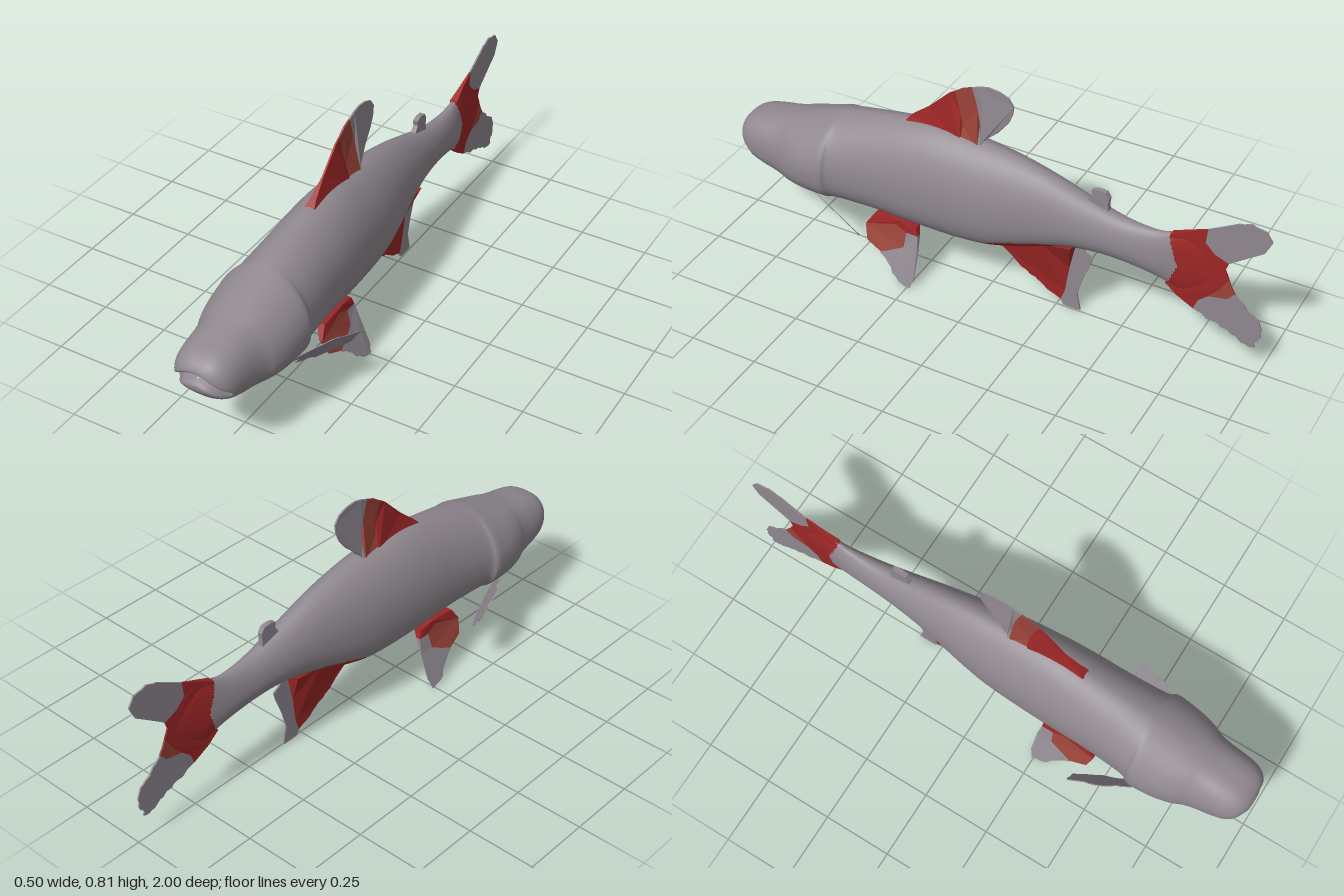
import * as THREE from 'three';

const grey = new THREE.MeshStandardMaterial({ color: 0x8f888f });
const red = new THREE.MeshStandardMaterial({ color: 0x9c2626 });
const brown = new THREE.MeshStandardMaterial({ color: 0x9a4338 });
grey.name = 'skin grey';
red.name = 'fin red';
brown.name = 'fin brown red';

let seed = 7;
const rnd = () => ((seed = (seed * 16807) % 2147483647) / 2147483647) - 0.5;

// Subdivides an open polyline of [z, y] points and frays it
function rag(pts, amount = 0.014, n = 5) {
  const out = [];
  for (let i = 0; i < pts.length - 1; i++) {
    for (let k = 0; k < n; k++) {
      const t = k / n, a = k ? amount : 0;
      out.push([
        pts[i][0] + (pts[i + 1][0] - pts[i][0]) * t + rnd() * a,
        pts[i][1] + (pts[i + 1][1] - pts[i][1]) * t + rnd() * a,
      ]);
    }
  }
  out.push(pts[pts.length - 1]);
  return out;
}

// Thin fin panel from a [z, y] outline; centre and half thickness are rules of (y, z)
function panel(name, outline, mat, half = () => 0.003, centre = () => 0) {
  const shape = new THREE.Shape(outline.map(([z, y]) => new THREE.Vector2(-z, y)));
  const geo = new THREE.ExtrudeGeometry(shape, { depth: 1, bevelEnabled: false });
  geo.translate(0, 0, -0.5).rotateY(Math.PI / 2);
  const p = geo.attributes.position;
  for (let i = 0; i < p.count; i++) {
    const y = p.getY(i), z = p.getZ(i);
    p.setX(i, centre(y, z) + 2 * p.getX(i) * half(y, z));
  }
  geo.computeVertexNormals();
  const mesh = new THREE.Mesh(geo, mat);
  mesh.name = name;
  return mesh;
}

// Body stations from nose to tail: z, top, bottom, half width
const STATIONS = [
  [1.0, 0.367, 0.363, 0.002], [1.0, 0.383, 0.348, 0.03], [0.997, 0.4, 0.331, 0.054],
  [0.985, 0.418, 0.312, 0.078], [0.965, 0.434, 0.29, 0.097], [0.935, 0.447, 0.27, 0.11],
  [0.89, 0.458, 0.253, 0.118], [0.84, 0.469, 0.24, 0.124], [0.8, 0.48, 0.23, 0.133],
  [0.76, 0.493, 0.225, 0.15], [0.7, 0.513, 0.222, 0.165], [0.63, 0.536, 0.22, 0.172],
  [0.6, 0.546, 0.219, 0.17], [0.575, 0.553, 0.218, 0.155], [0.5, 0.57, 0.216, 0.147],
  [0.4, 0.59, 0.213, 0.141], [0.3, 0.606, 0.206, 0.139], [0.2, 0.613, 0.201, 0.135],
  [0.1, 0.606, 0.2, 0.129], [0, 0.595, 0.207, 0.121], [-0.1, 0.579, 0.23, 0.107],
  [-0.2, 0.555, 0.262, 0.09], [-0.3, 0.523, 0.292, 0.075], [-0.4, 0.49, 0.304, 0.061],
  [-0.5, 0.466, 0.3, 0.049], [-0.6, 0.461, 0.283, 0.037], [-0.66, 0.474, 0.266, 0.028],
  [-0.71, 0.478, 0.252, 0.019], [-0.77, 0.44, 0.29, 0.01], [-0.83, 0.37, 0.35, 0.001],
];

// Upper limit of the red belly patch: z, y
const PATCH = [[0.33, 0.206], [0.1, 0.206], [0.04, 0.222], [-0.02, 0.246], [-0.1, 0.28], [-0.2, 0.3], [-0.34, 0.316]];
function patchTop(z) {
  for (let i = 0; i < PATCH.length - 1; i++) {
    const [z0, y0] = PATCH[i], [z1, y1] = PATCH[i + 1];
    if (z <= z0 && z >= z1) return y0 + ((y1 - y0) * (z0 - z)) / (z0 - z1);
  }
  return -1;
}

function buildBody() {
  const rings = (STATIONS.length - 1) * 8, segs = 72;
  const curve = (f) => new THREE.CatmullRomCurve3(STATIONS.map(f), false, 'catmullrom', 0.5);
  const upper = curve((s) => new THREE.Vector3(s[3], s[1], s[0]));
  const lower = curve((s) => new THREE.Vector3(s[3], s[2], s[0]));
  const pos = [];
  for (let i = 0; i <= rings; i++) {
    const u = upper.getPoint(i / rings), l = lower.getPoint(i / rings);
    const mid = l.y + (u.y - l.y) * 0.43;
    const head = THREE.MathUtils.smoothstep(u.z, 0.65, 0.9);
    const trunk = THREE.MathUtils.smoothstep(u.z, -0.5, 0);
    for (let j = 0; j < segs; j++) {
      const a = (j / segs) * Math.PI * 2, c = Math.cos(a), s = Math.sin(a);
      // Pointed back, flatter belly, blockier head
      const e = s > 0 ? 1 + 0.15 * trunk - 0.4 * head : 1 - 0.2 * trunk;
      const x = u.x * Math.sign(c) * Math.abs(c) ** e;
      const sy = s > 0 ? s : -(Math.abs(s) ** (1 - 0.18 * trunk));
      const y = mid + (s > 0 ? u.y - mid : mid - l.y) * sy;
      // Downturned mouth groove
      const d = (y - (0.374 - 6 * x * x)) / 0.014;
      const z = u.z - 0.036 * Math.exp(-d * d) * THREE.MathUtils.smoothstep(u.z, 0.93, 0.98);
      pos.push(x, y, z);
    }
  }
  // Sort faces into grey skin, red markings and the brown border
  const faces = [[], [], []];
  for (let i = 0; i < rings; i++) {
    for (let j = 0; j < segs; j++) {
      const a = i * segs + j, b = i * segs + ((j + 1) % segs), c = a + segs, d = b + segs;
      for (const tri of [[a, c, b], [b, c, d]]) {
        const y = tri.reduce((t, v) => t + pos[v * 3 + 1], 0) / 3;
        const z = tri.reduce((t, v) => t + pos[v * 3 + 2], 0) / 3;
        const top = patchTop(z);
        let k = 0;
        if (z < -0.69 + 0.35 * Math.abs(y - 0.36) || y < top) k = 1;
        if (k && z < -0.06 && z > -0.4 && y > top - 0.012) k = 2;
        faces[k].push(...tri);
      }
    }
  }
  const geo = new THREE.BufferGeometry();
  geo.setAttribute('position', new THREE.Float32BufferAttribute(pos, 3));
  geo.setIndex(faces.flat());
  let start = 0;
  faces.forEach((f, k) => { geo.addGroup(start, f.length, k); start += f.length; });
  geo.computeVertexNormals();
  const mesh = new THREE.Mesh(geo, [grey, red, brown]);
  mesh.name = 'body';
  return mesh;
}

export function createModel() {
  const fish = new THREE.Group();
  fish.name = 'fish';
  fish.position.x = -0.005;
  fish.add(buildBody());

  // Dorsal fin: red front, brown band, grey rear; flared at its base
  const backHalf = (y) => 0.003 + 0.016 * Math.max(0, (0.68 - y) / 0.08) ** 2;
  fish.add(
    panel('dorsalFinFront', [[0.33, 0.6], [0.31, 0.62], [0.25, 0.67], [0.17, 0.75], [0.145, 0.766], [0.125, 0.69], [0.115, 0.64], [0.115, 0.58]], red, backHalf),
    panel('dorsalFinBand', [[0.145, 0.766], [0.115, 0.787], [0.08, 0.8], [0.06, 0.73], [0.05, 0.66], [0.05, 0.58], [0.115, 0.58], [0.115, 0.64], [0.125, 0.69]], brown, backHalf),
    panel('dorsalFinRear', [[0.08, 0.8], [0.05, 0.812], [0.02, 0.818], [-0.02, 0.814], [-0.055, 0.8], [-0.075, 0.772], [-0.07, 0.735], [-0.055, 0.7], [-0.02, 0.655], [0.02, 0.62], [0.038, 0.6], [0.04, 0.58], [0.05, 0.58], [0.05, 0.66], [0.06, 0.73]], grey, backHalf),
    panel('adiposeFin', [[-0.34, 0.48], [-0.357, 0.505], [-0.372, 0.525], [-0.368, 0.545], [-0.39, 0.552], [-0.42, 0.55], [-0.433, 0.53], [-0.43, 0.505], [-0.435, 0.46]], grey, () => 0.009),
  );

  // Anal fin
  const bellyHalf = (y) => 0.003 + 0.012 * Math.max(0, (y - 0.14) / 0.08) ** 2;
  const analTip = [-0.265, 0.035];
  fish.add(
    panel('analFinFront', [[0.07, 0.21], [0.04, 0.2], ...rag([[-0.03, 0.195], [-0.075, 0.155], [-0.11, 0.12], [-0.165, 0.095], [-0.21, 0.06], analTip], 0.008, 3), [-0.28, 0.08], [-0.295, 0.19], [-0.32, 0.31], [-0.2, 0.28], [-0.05, 0.225]], red, bellyHalf),
    panel('analFinRear', [analTip, ...rag([[-0.275, 0.015], [-0.34, 0.015]], 0.008, 3), [-0.325, 0.085], [-0.345, 0.155], [-0.372, 0.225], [-0.38, 0.255], [-0.35, 0.275], [-0.335, 0.31], [-0.32, 0.31], [-0.295, 0.19], [-0.28, 0.08]], grey),
  );

  // Tail fin: red root, brown patch, two grey lobes
  const tailHalf = (y, z) => 0.003 + 0.012 * Math.max(0, (z + 0.75) / 0.1);
  fish.add(
    panel('tailRoot', [[-0.655, 0.47], [-0.715, 0.5], [-0.78, 0.53], [-0.775, 0.475], [-0.81, 0.44], [-0.86, 0.42], [-0.85, 0.39], [-0.865, 0.355], [-0.84, 0.31], [-0.8, 0.262], [-0.765, 0.23], [-0.75, 0.19], [-0.69, 0.23], [-0.65, 0.27], [-0.69, 0.35]], red, tailHalf),
    panel('tailBand', [[-0.865, 0.355], ...rag([[-0.865, 0.355], [-0.89, 0.305]], 0.006, 2), [-0.865, 0.275], [-0.8, 0.262], [-0.84, 0.31]], brown),
    panel('tailUpperLobe', [[-0.78, 0.53], [-0.85, 0.57], ...rag([[-0.88, 0.588], [-0.925, 0.602], [-0.975, 0.59], [-0.997, 0.555], [-0.975, 0.505]], 0.006, 3), [-0.92, 0.465], [-0.86, 0.42], [-0.81, 0.44], [-0.775, 0.475]], grey),
    panel('tailLowerLobe', [[-0.765, 0.23], [-0.8, 0.262], [-0.865, 0.275], ...rag([[-0.89, 0.305], [-0.93, 0.265], [-0.965, 0.235], [-0.992, 0.19], [-0.985, 0.14], [-0.965, 0.108], [-0.92, 0.12], [-0.85, 0.15], [-0.8, 0.165], [-0.75, 0.19]], 0.014, 4)], grey),
  );

  // Paired fins, mirrored left and right
  for (const side of [1, -1]) {
    const tag = side > 0 ? 'left' : 'right';
    // Pectoral fin sweeps outward and back
    const pectoral = (y, z) => side * (0.135 + 0.7 * (y - 0.22) - 0.5 * (z - 0.59));
    fish.add(panel(tag + 'PectoralFin', rag([[0.62, 0.215], [0.635, 0.265], [0.54, 0.295], [0.42, 0.262], [0.42, 0.2], [0.51, 0.188], [0.62, 0.215]], 0.016, 5).slice(0, -1), grey, () => 0.002, pectoral));

    // Pelvic fin splays downward, with a coloured patch in its upper half
    const pelvic = (y) => side * (0.102 + Math.max(-0.01, (0.2 - y) * 0.4));
    const pelvicHalf = (y) => 0.002 + 0.014 * Math.max(0, (y - 0.16) / 0.07);
    const patch = [[0.45, 0.18], [0.435, 0.125], [0.375, 0.1], [0.33, 0.12], [0.29, 0.14], [0.285, 0.195], [0.33, 0.215]];
    fish.add(
      panel(tag + 'PelvicFinPatch', patch, brown, pelvicHalf, pelvic),
      panel(tag + 'PelvicFinRoot', [[0.45, 0.18], [0.33, 0.215], [0.285, 0.195], [0.24, 0.195], [0.25, 0.225], [0.31, 0.235], [0.42, 0.225]], red, pelvicHalf, pelvic),
      panel(tag + 'PelvicFinTip', [[0.375, 0.1], ...rag([[0.375, 0.095], [0.325, 0.06], [0.285, 0.02], [0.24, 0.012], [0.23, 0.05]], 0.01, 3), [0.232, 0.14], [0.24, 0.195], [0.285, 0.195], [0.29, 0.14], [0.33, 0.12]], grey, pelvicHalf, pelvic),
    );
  }
  return fish;
}
